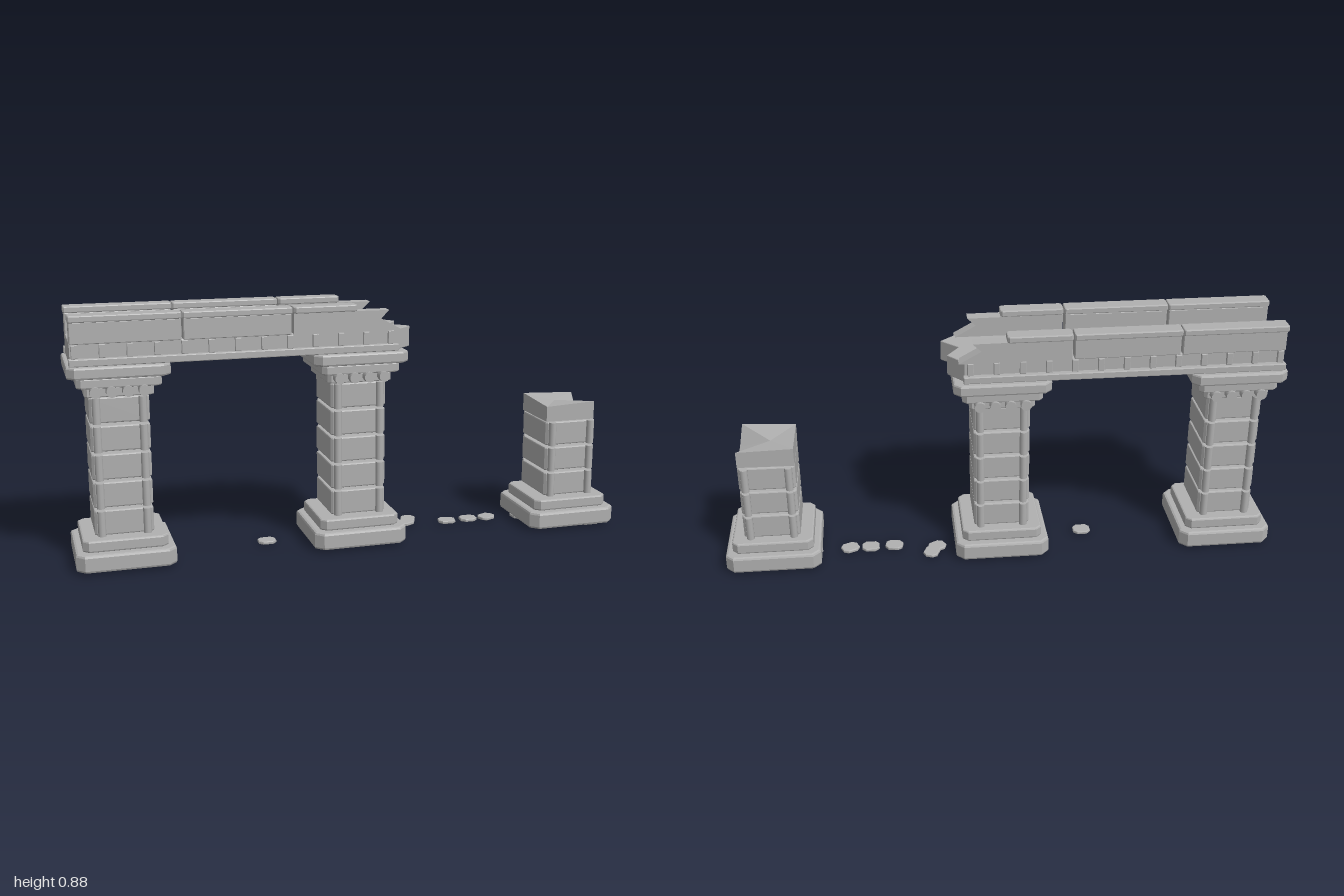
import * as THREE from 'three';

const stone = new THREE.MeshStandardMaterial({ color: 0xb0b0b0 });
stone.name = 'weathered stone';

function part(parent, name, geometry) {
  const mesh = new THREE.Mesh(geometry, stone);
  mesh.name = name;
  parent.add(mesh);
  return mesh;
}

// Horizontal plate from [x, z] points, spanning y0..y1, with softened edges
function plate(points, y0, y1, bevel) {
  const shape = new THREE.Shape(points.map(([x, z]) => new THREE.Vector2(x, -z)));
  const g = new THREE.ExtrudeGeometry(shape, {
    depth: y1 - y0 - 2 * bevel, bevelEnabled: bevel > 0,
    bevelThickness: bevel, bevelSize: bevel, bevelOffset: -bevel, bevelSegments: 2,
  });
  return g.rotateX(-Math.PI / 2).translate(0, y0 + bevel, 0);
}

// Rectangular slab with cut corners
function slab(x0, x1, y0, y1, z0, z1, cut = 0.008, bevel = 0.005) {
  return plate([
    [x0 + cut, z1], [x1 - cut, z1], [x1, z1 - cut], [x1, z0 + cut],
    [x1 - cut, z0], [x0 + cut, z0], [x0, z0 + cut], [x0, z1 - cut],
  ], y0, y1, bevel);
}

const block = (hx, hz, y0, y1, cut, bevel) => slab(-hx, hx, y0, y1, -hz, hz, cut, bevel);

// Stepped base and separate shaft courses with corner rods
function makePier(name, x, courses) {
  const pier = new THREE.Group();
  pier.name = name;
  pier.position.x = x;
  part(pier, 'basePlinth', block(0.17, 0.165, 0.01, 0.073, 0.028, 0.009));
  part(pier, 'baseStep', block(0.145, 0.137, 0.073, 0.114, 0.02, 0.006));
  for (let i = 0; i < courses; i++) {
    const y0 = 0.122 + i * 0.0975, y1 = y0 + 0.088;
    part(pier, 'shaftBlock', block(0.1, 0.105, y0, y1, 0.008, 0.005));
    for (const sx of [-1, 1]) for (const sz of [-1, 1]) {
      const rod = part(pier, 'cornerRod', new THREE.CylinderGeometry(0.014, 0.014, y1 - y0, 10));
      rod.position.set(sx * 0.077, (y0 + y1) / 2, sz * 0.11);
    }
  }
  return pier;
}

// Capital of three widening steps with round brackets front and back
function addCapital(pier) {
  part(pier, 'capitalNeck', block(0.115, 0.126, 0.605, 0.638, 0.01, 0.004));
  part(pier, 'capitalStep', block(0.14, 0.147, 0.638, 0.672, 0.015, 0.005));
  part(pier, 'capitalTop', block(0.17, 0.165, 0.672, 0.713, 0.025, 0.007));
  for (const sz of [-1, 1]) for (let i = 0; i < 4; i++) {
    const bracket = part(pier, 'roundBracket', new THREE.CylinderGeometry(0.019, 0.019, 0.04, 10));
    bracket.rotation.x = Math.PI / 2;
    bracket.position.set(-0.08 + i * 0.0533, 0.626, sz * 0.137);
  }
}

// Broken top course: level foot, jagged rim with a notch towards +x
function brokenBlock() {
  const rim = [
    [-0.1, 0.105, 0.465], [0.092, 0.105, 0.475], [0.1, 0.045, 0.414], [0.1, -0.065, 0.416],
    [0.1, -0.1, 0.468], [-0.1, -0.105, 0.475],
  ];
  const peak = [-0.015, -0.01, 0.462], y0 = 0.408, pos = [];
  const add = (...ps) => ps.forEach(([x, z, y]) => pos.push(x, y, z));
  rim.forEach((a, i) => {
    const b = rim[(i + 1) % rim.length];
    const a0 = [a[0], a[1], y0], b0 = [b[0], b[1], y0];
    add(a0, b0, b, a0, b, a);
    add(a, b, peak);
    add(b0, a0, [0, 0, y0]);
  });
  const g = new THREE.BufferGeometry();
  g.setAttribute('position', new THREE.Float32BufferAttribute(pos, 3));
  g.computeVertexNormals();
  return g;
}

// Channel deck with a jagged end, parapets, ledges and dentils
function makeBeam() {
  const beam = new THREE.Group();
  beam.name = 'channelBeam';
  part(beam, 'deck', plate([
    [-0.985, 0.128], [0.13, 0.128], [0.2, 0.065], [0.14, 0.005],
    [0.185, -0.06], [0.13, -0.126], [-0.985, -0.126],
  ], 0.713, 0.787, 0.003));

  const segments = [[-0.985, -0.621], [-0.614, -0.246]];
  for (const s of [-1, 1]) {
    const strip = (x0, x1, y0, y1, a, b, cut, bevel) =>
      slab(x0, x1, y0, y1, Math.min(s * a, s * b), Math.max(s * a, s * b), cut, bevel);

    part(beam, 'lowerLedge', strip(-0.99, 0.135, 0.713, 0.738, 0.12, 0.147, 0.003, 0.003));
    for (let i = 0; i < 13; i++) {
      const x = -0.97 + i * 0.09;
      part(beam, 'dentil', strip(x - 0.011, x + 0.011, 0.738, 0.783, 0.12, 0.136, 0.002, 0.002));
    }
    for (const [x0, x1] of segments) {
      part(beam, 'parapetWall', strip(x0, x1, 0.785, 0.858, 0.09, 0.137, 0.003, 0.003));
      part(beam, 'parapetCap', strip(x0 - 0.003, x1 + 0.002, 0.857, 0.88, 0.087, 0.147, 0.005, 0.004));
    }
    // Last parapet length, snapped off at its end
    const outline = [[-0.238, 0.785], [0.15, 0.785], [0.072, 0.828], [0.102, 0.856], [-0.238, 0.858]];
    const shape = new THREE.Shape(outline.map(([x, y]) => new THREE.Vector2(x, y)));
    const wall = new THREE.ExtrudeGeometry(shape, { depth: 0.047, bevelEnabled: false });
    part(beam, 'brokenParapet', wall.translate(0, 0, s > 0 ? 0.09 : -0.137));
    part(beam, 'brokenParapetCap', strip(-0.24, -0.015, 0.857, 0.88, 0.087, 0.147, 0.008, 0.004));
  }
  return beam;
}

export function createModel() {
  const model = new THREE.Group();
  model.name = 'ruinedAqueduct';

  [['endPier', -0.83], ['middlePier', 0]].forEach(([name, x]) => {
    const pier = makePier(name, x, 5);
    addCapital(pier);
    model.add(pier);
  });

  const ruin = makePier('brokenPier', 0.83, 3);
  part(ruin, 'brokenBlock', brokenBlock());
  model.add(ruin);
  model.add(makeBeam());

  // Flat rubble chips along the ground: x, z, turn
  const chips = [
    [-0.315, 0, 0], [0.237, -0.06, 0.5], [0.258, -0.095, 1.2], [0.395, -0.037, -0.2],
    [0.482, -0.038, 0], [0.558, -0.038, 0.4], [0.705, -0.03, 0.1], [0.915, 0.105, 0],
  ];
  chips.forEach(([x, z, turn], i) => {
    const large = i > 5;
    const chip = part(model, 'rubbleChip', block(0.032, 0.027, 0, 0.012, 0.014, 0.003));
    chip.scale.set(large ? 1.4 : 1, 1, large ? 1.4 : 1);
    chip.position.set(x, large ? 0.002 : 0.005, z);
    chip.rotation.y = turn;
  });
  return model;
}
